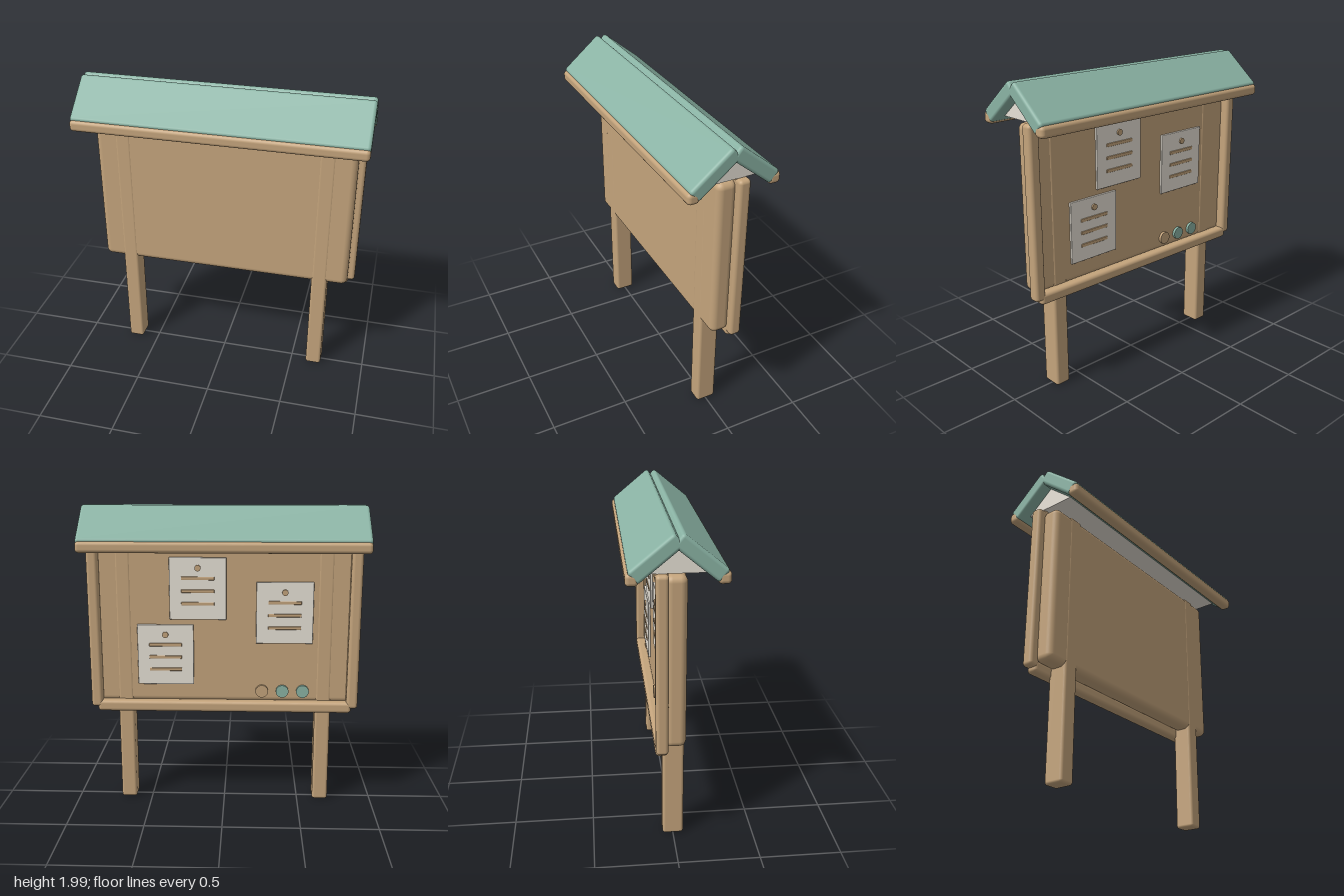
import * as THREE from 'three';
import { RoundedBoxGeometry } from 'three/addons/geometries/RoundedBoxGeometry.js';

export function createModel() {
  const model = new THREE.Group();
  model.name = 'noticeBoard';

  const material = (name, color) => {
    const m = new THREE.MeshStandardMaterial({ color });
    m.name = name;
    return m;
  };
  const wood = material('wood', 0xc4a47c);
  const teal = material('teal', 0x8ab3a4);
  const paper = material('paper', 0xebe5da);

  const add = (parent, name, geometry, mat, x, y, z) => {
    const mesh = new THREE.Mesh(geometry, mat);
    mesh.name = name;
    mesh.position.set(x, y, z);
    parent.add(mesh);
    return mesh;
  };
  const block = (parent, name, w, h, d, r, mat, x, y, z) =>
    add(parent, name, new RoundedBoxGeometry(w, h, d, 4, r), mat, x, y, z);

  // Flat disc facing the back
  const disc = (parent, name, r, depth, mat, x, y, z) => {
    const g = new THREE.CylinderGeometry(r, r, depth, 24).rotateX(Math.PI / 2);
    return add(parent, name, g, mat, x, y, z);
  };

  // Board and the two posts, which stand just proud of its faces
  block(model, 'board', 1.68, 1.05, 0.124, 0.04, wood, 0, 1.225, 0);
  for (const s of [-1, 1]) {
    block(model, 'post', 0.104, 1.74, 0.13, 0.018, wood, s * 0.657, 0.875, 0);
    block(model, 'frameStile', 0.074, 1.09, 0.074, 0.022, wood, s * 0.845, 1.222, -0.083);
  }
  // Frame rails on the display side
  block(model, 'bottomRail', 1.68, 0.074, 0.074, 0.022, wood, 0, 0.683, -0.083);
  block(model, 'topRail', 1.68, 0.074, 0.074, 0.022, wood, 0, 1.747, -0.083);

  // Roof slopes with an eave batten under each
  for (const s of [-1, 1]) {
    const slope = block(model, 'roofSlope', 1.826, 0.09, 0.326, 0.02, teal, 0, 1.866, s * 0.122);
    slope.rotation.x = s * 0.69;
    block(model, 'eaveBatten', 1.826, 0.072, 0.074, 0.024, wood, 0, 1.756, s * 0.247);
  }

  // Triangular filler below the roof
  const gable = new THREE.Shape([
    new THREE.Vector2(-0.175, 0),
    new THREE.Vector2(0.175, 0),
    new THREE.Vector2(0, 0.143),
  ]);
  const filler = new THREE.ExtrudeGeometry(gable, { depth: 1.68, bevelEnabled: false });
  filler.translate(0, 0, -0.84).rotateY(Math.PI / 2);
  add(model, 'gableFiller', filler, paper, 0, 1.768, 0);

  // Pinned notices, each with a pin and three ruled lines
  for (const [x, y] of [[0.17, 1.468], [0.385, 1.028], [-0.393, 1.312]]) {
    const notice = new THREE.Group();
    notice.name = 'notice';
    notice.position.set(x, y, -0.069);
    block(notice, 'sheet', 0.37, 0.405, 0.016, 0.004, paper, 0, 0, 0);
    disc(notice, 'pin', 0.02, 0.014, wood, 0, 0.135, -0.011);
    for (const ly of [0.068, -0.015, -0.098])
      block(notice, 'ruledLine', 0.215, 0.022, 0.009, 0.004, wood, 0, ly, -0.009);
    model.add(notice);
  }

  // Row of buttons in the lower corner
  [wood, teal, teal].forEach((mat, i) =>
    disc(model, 'button', 0.042, 0.02, mat, -0.25 - i * 0.135, 0.782, -0.07));

  return model;
}
